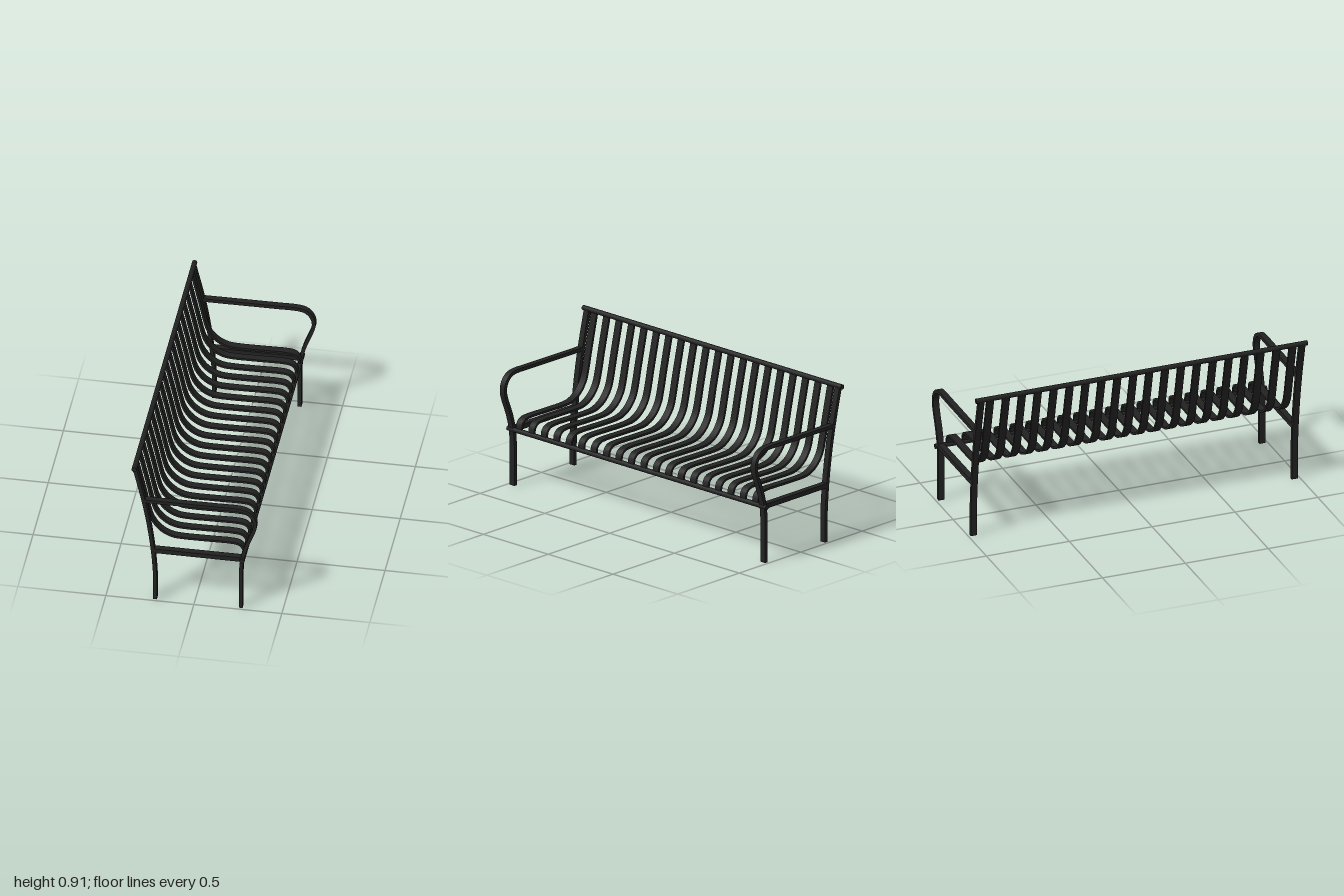
import * as THREE from 'three';
import { toCreasedNormals } from 'three/addons/utils/BufferGeometryUtils.js';

// Flat bar: a smooth path in the x-y plane, thickened sideways and extruded along z
function barGeometry(points, thickness, width) {
  const curve = new THREE.CatmullRomCurve3(points.map(([x, y]) => new THREE.Vector3(x, y, 0)));
  const n = (points.length - 1) * 3;
  const one = [], two = [];
  for (let i = 0; i <= n; i++) {
    const p = curve.getPoint(i / n), t = curve.getTangent(i / n);
    const h = thickness / 2;
    one.push(new THREE.Vector2(p.x - t.y * h, p.y + t.x * h));
    two.push(new THREE.Vector2(p.x + t.y * h, p.y - t.x * h));
  }
  const shape = new THREE.Shape([...one, ...two.reverse()]);
  const geometry = new THREE.ExtrudeGeometry(shape, { depth: width, bevelEnabled: false });
  geometry.translate(0, 0, -width / 2);
  return toCreasedNormals(geometry, 0.6);
}

export function createModel() {
  const bench = new THREE.Group();
  bench.name = 'bench';
  const metal = new THREE.MeshStandardMaterial({ color: 0x222222 });
  metal.name = 'black metal';

  const add = (parent, name, geometry, x = 0, y = 0, z = 0) => {
    const mesh = new THREE.Mesh(geometry, metal);
    mesh.name = name;
    mesh.position.set(x, y, z);
    parent.add(mesh);
    return mesh;
  };

  // Side frames: rear post, front leg bending into the armrest, and a cross bar
  const rearPost = barGeometry([
    [-0.223, 0], [-0.224, 0.17], [-0.236, 0.333], [-0.26, 0.515], [-0.29, 0.676], [-0.34, 0.89],
  ], 0.021, 0.036);
  const legAndArm = barGeometry([
    [0.264, 0], [0.264, 0.15], [0.265, 0.26], [0.274, 0.345], [0.297, 0.43], [0.328, 0.51],
    [0.343, 0.56], [0.342, 0.6], [0.325, 0.637], [0.295, 0.662], [0.25, 0.672], [0.15, 0.672], [-0.286, 0.67],
  ], 0.021, 0.036);
  const crossBar = new THREE.BoxGeometry(0.505, 0.028, 0.036);
  for (const side of [1, -1]) {
    const frame = new THREE.Group();
    frame.name = side > 0 ? 'frontEndFrame' : 'backEndFrame';
    frame.position.z = side * 0.968;
    add(frame, 'rearPost', rearPost);
    add(frame, 'frontLegAndArmrest', legAndArm);
    add(frame, 'crossBar', crossBar, 0.02, 0.333);
    bench.add(frame);
  }

  // Long round rails that carry the slat ends
  const rail = new THREE.CylinderGeometry(0.0145, 0.0145, 2, 16).rotateX(Math.PI / 2);
  add(bench, 'topRail', rail, -0.34, 0.892);
  add(bench, 'frontRail', rail, 0.273, 0.332);

  // Curved slats running down the back and over the seat
  const slat = barGeometry([
    [-0.34, 0.892], [-0.29, 0.676], [-0.268, 0.575], [-0.25, 0.513], [-0.219, 0.464], [-0.18, 0.43],
    [-0.135, 0.41], [-0.09, 0.404], [0.06, 0.404], [0.22, 0.404], [0.25, 0.394], [0.268, 0.372], [0.273, 0.332],
  ], 0.013, 0.044);
  const count = 20;
  for (let i = 0; i < count; i++) {
    add(bench, 'slat', slat, 0, 0, -0.912 + (1.824 * i) / (count - 1));
  }
  return bench;
}
